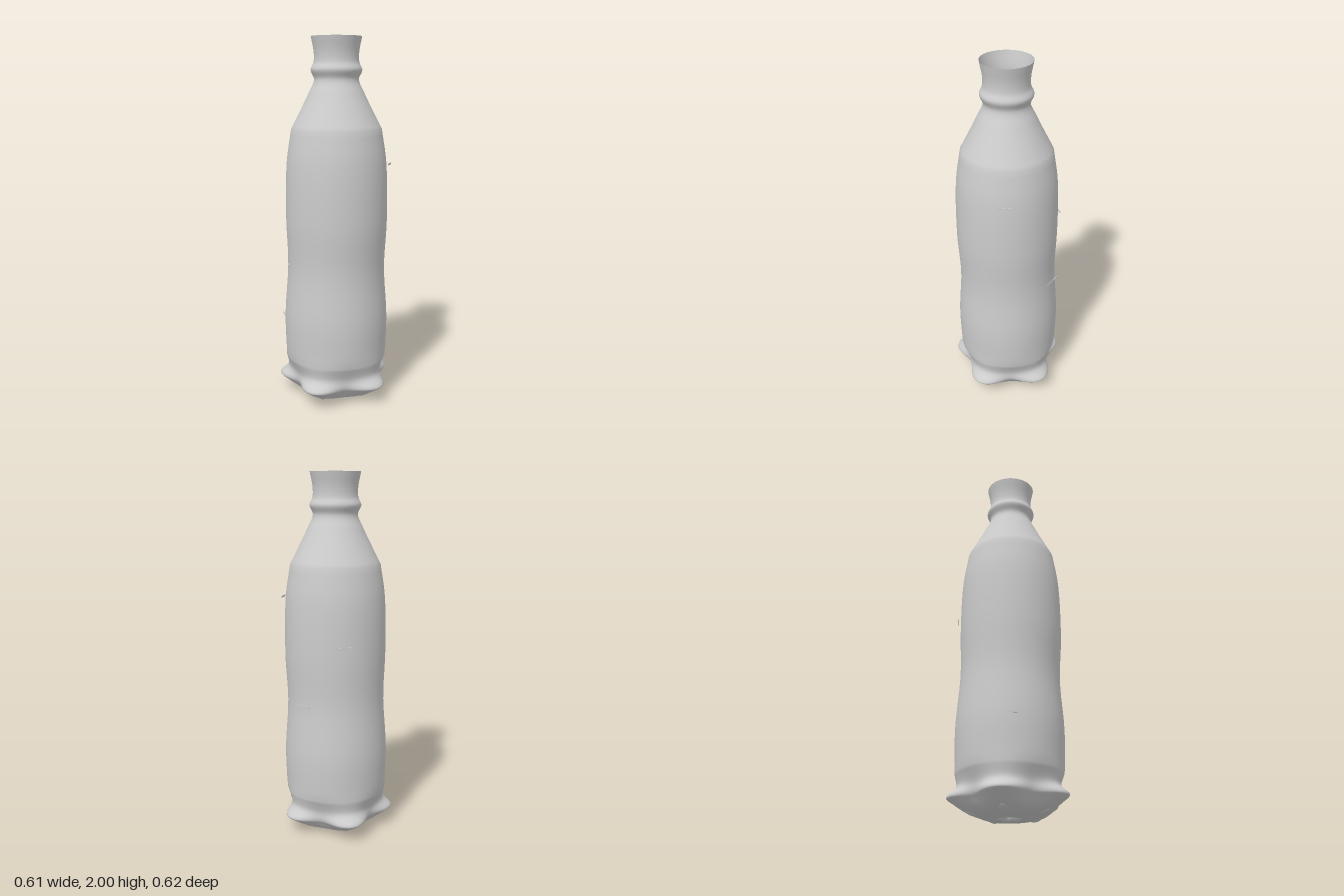
import * as THREE from 'three';

const CX = -0.02; // axis of the bottle
const SEG = 100;

// Smooth run of rings through a few key rings: radius, height, five-lobe amount
function rings(keys, steps) {
  const points = keys.map(([r, y, lobe = 0]) => new THREE.Vector3(r, y, lobe));
  return new THREE.CatmullRomCurve3(points).getPoints(steps);
}

// Star-shaped dent in the middle of the base, then the flared lobed foot
const BASE = [
  [0.001, 0.035, 0], [0.036, 0.033, 0.12], [0.054, 0.008, 0.12], [0.07, 0.001, 0.05], [0.1, 0, 0.02],
  [0.2, 0.028, 0.06], [0.262, 0.075, 0.12], [0.285, 0.098, 0.135], [0.262, 0.155, 0.045], [0.282, 0.23, 0.008],
];

// Slightly waisted body up to the shoulder
const BODY = [[0.282, 0.23], [0.288, 0.46], [0.27, 0.75], [0.28, 1.02], [0.273, 1.33], [0.247, 1.51]];

// Shoulder cone, ringed neck and flared mouth
const NECK = [
  [0.247, 1.51], [0.191, 1.62], [0.152, 1.7], [0.121, 1.775], [0.139, 1.825],
  [0.123, 1.865], [0.122, 1.92], [0.137, 2],
];

// Thin surface lofted through the rings; the body leans a little to the front
function bottleGeometry() {
  const profile = [...rings(BASE, 45), ...rings(BODY, 25).slice(1), ...rings(NECK, 42).slice(1)];
  const pos = [], index = [];
  profile.forEach(({ x: r, y, z: lobe }, i) => {
    const lean = 0.007 * THREE.MathUtils.smoothstep(y, 0.6, 1);
    for (let j = 0; j < SEG; j++) {
      const t = (j / SEG) * Math.PI * 2;
      const rad = r * (1 + lobe * Math.cos(5 * t));
      pos.push(CX + rad * Math.cos(t), Math.max(y, 0), lean + rad * Math.sin(t));
      if (i === profile.length - 1) continue;
      const a = i * SEG + j, b = i * SEG + ((j + 1) % SEG);
      index.push(a, a + SEG, b, b, a + SEG, b + SEG);
    }
  });
  const g = new THREE.BufferGeometry();
  g.setAttribute('position', new THREE.Float32BufferAttribute(pos, 3));
  g.setIndex(index);
  g.computeVertexNormals();
  return g;
}

export function createModel() {
  const model = new THREE.Group();
  model.name = 'bottle';
  const material = new THREE.MeshStandardMaterial({ color: 0xcccccc, side: THREE.DoubleSide });

  const add = (name, geometry) => {
    const mesh = new THREE.Mesh(geometry, material);
    mesh.name = name;
    model.add(mesh);
    return mesh;
  };

  add('bottleShell', bottleGeometry());

  // Small oval pads under the five lobes
  for (let k = 0; k < 5; k++) {
    const t = (k / 5) * Math.PI * 2;
    const pad = add('footPad', new THREE.SphereGeometry(1, 20, 12));
    pad.scale.set(0.035, 0.011, 0.021);
    pad.position.set(CX + 0.19 * Math.cos(t), 0.025, 0.19 * Math.sin(t));
    pad.rotation.set(0, -t, 0.3, 'YXZ');
  }

  // Thin slivers on the wall: height, then x and z of both ends
  [
    [1.325, 0.17, 0.228, 0.222, 0.18],
    [1.1, 0.07, -0.275, 0.135, -0.25],
    [0.77, 0.247, -0.14, 0.274, -0.045],
    [0.47, -0.283, -0.138, -0.305, -0.07],
  ].forEach(([y, x0, z0, x1, z1]) => {
    const sliver = add('wallSliver', new THREE.BoxGeometry(Math.hypot(x1 - x0, z1 - z0), 0.01, 0.003));
    sliver.position.set((x0 + x1) / 2, y, (z0 + z1) / 2);
    sliver.rotation.y = -Math.atan2(z1 - z0, x1 - x0);
  });

  return model;
}
